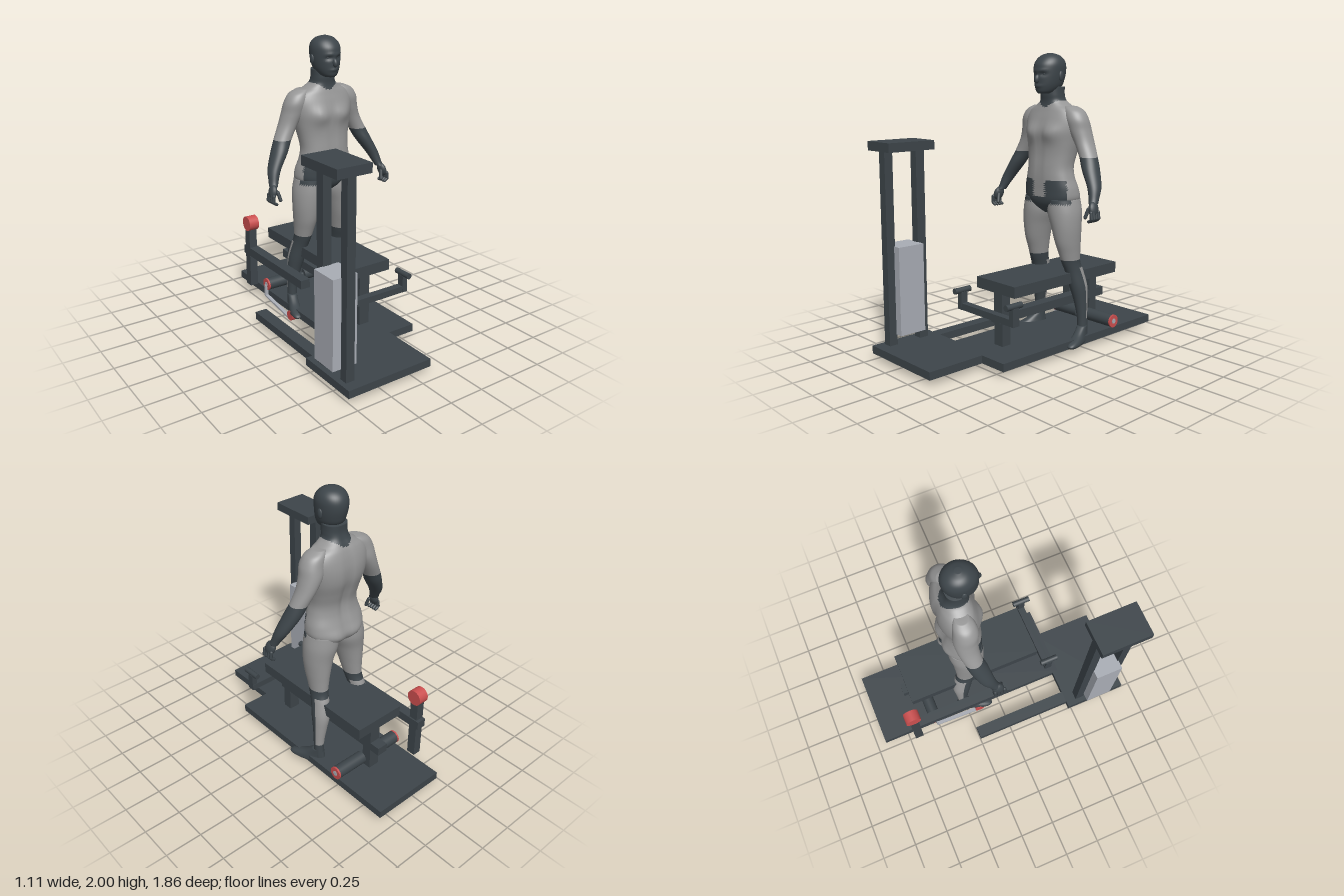
import * as THREE from 'three';

const mat = (name, color) => Object.assign(new THREE.MeshStandardMaterial({ color }), { name });

export function createModel() {
  const charcoal = mat('charcoal', 0x3d454a);
  const bodyGrey = mat('bodyGrey', 0x969696);
  const red = mat('red', 0xcb4f4f);
  const lightGrey = mat('lightGrey', 0xa9adb5);
  const model = new THREE.Group();

  const add = (parent, name, geo, material, x = 0, y = 0, z = 0) => {
    const m = new THREE.Mesh(geo, material);
    m.name = name;
    m.position.set(x, y, z);
    parent.add(m);
    return m;
  };
  // box given by its extents
  const box = (name, x0, x1, y0, y1, z0, z1, material = charcoal) =>
    add(model, name, new THREE.BoxGeometry(x1 - x0, y1 - y0, z1 - z0), material,
      (x0 + x1) / 2, (y0 + y1) / 2, (z0 + z1) / 2);
  // cylinder lying along x
  const rod = (name, x0, x1, y, z, r, material = charcoal) =>
    add(model, name, new THREE.CylinderGeometry(r, r, x1 - x0, 28).rotateZ(Math.PI / 2),
      material, (x0 + x1) / 2, y, z);

  // ---- base ----
  box('mainPlate', -0.21, 0.33, 0.042, 0.095, -0.93, 0.515);
  box('frontPlate', -0.51, 0.125, 0.042, 0.095, 0.47, 0.925);
  box('sideRail', -0.465, -0.38, 0.042, 0.095, -0.25, 0.47);

  // ---- weight tower ----
  box('towerCap', -0.565, -0.325, 1.38, 1.44, 0.525, 0.875);
  box('towerFrontPost', -0.475, -0.415, 0.095, 1.38, 0.79, 0.85);
  box('towerRearPost', -0.475, -0.415, 0.095, 1.38, 0.545, 0.61);
  box('weightStack', -0.535, -0.36, 0.165, 0.76, 0.605, 0.797, lightGrey);

  // ---- bench ----
  box('benchTop', -0.125, 0.247, 0.46, 0.535, -0.635, 0.345);
  box('benchBeam', 0.02, 0.1, 0.255, 0.315, -0.67, 0.345);
  box('benchFrontPost', 0.02, 0.1, 0.095, 0.46, 0.25, 0.32);
  box('benchRearPost', 0.02, 0.1, 0.095, 0.46, -0.595, -0.525);

  // ---- handle bar ----
  box('handleCrossBar', -0.215, 0.335, 0.31, 0.355, 0.385, 0.435);
  for (const x of [-0.195, 0.315]) {
    box('handleUpright', x - 0.02, x + 0.02, 0.31, 0.43, 0.388, 0.437);
    add(model, 'handleGrip', new THREE.CylinderGeometry(0.02, 0.02, 0.13, 16).rotateX(Math.PI / 2),
      charcoal, x, 0.44, 0.415);
  }

  // ---- side arm and pulleys ----
  box('sideArm', -0.28, -0.21, 0.34, 0.402, -0.73, 0.06);
  box('sidePost', -0.28, -0.22, 0.095, 0.54, -0.708, -0.645);
  rod('topPulley', -0.283, -0.207, 0.585, -0.68, 0.055, red);
  rod('lowerPulley', -0.24, -0.207, 0.037, -0.16, 0.036, red);
  const cable = [[0.01, -0.18], [0.055, -0.51], [0.14, -0.51]];
  for (let i = 0; i < 2; i++) {
    const [y0, z0] = cable[i], [y1, z1] = cable[i + 1];
    const m = add(model, 'cable', new THREE.BoxGeometry(0.025, 0.014, Math.hypot(y1 - y0, z1 - z0)),
      lightGrey, -0.225, (y0 + y1) / 2, (z0 + z1) / 2);
    m.rotation.x = -Math.atan2(y1 - y0, z1 - z0);
  }

  // ---- foot rollers ----
  for (const [inner, outer] of [[0.01, -0.21], [0.1, 0.33]]) {
    const s = Math.sign(outer);
    rod('footRoller', Math.min(inner, outer), Math.max(inner, outer), 0.14, -0.515, 0.044);
    const e = outer + s * 0.006;
    rod('rollerCap', e - 0.006, e + 0.006, 0.14, -0.515, 0.045, red);
    rod('rollerAxle', e + s * 0.005 - 0.004, e + s * 0.005 + 0.004, 0.14, -0.515, 0.018, lightGrey);
  }
  rod('rollerShaft', 0.0, 0.11, 0.14, -0.515, 0.018);

  // ---- figure ----
  const figure = new THREE.Group();
  figure.name = 'figure';
  figure.position.x = 0.06;
  model.add(figure);

  // smooth loft through horizontal rings [x, y, z, rx, rz], listed from the bottom up
  const loft = (name, rings, { power = 2, bump = null, isDark = () => true, parent = figure } = {}) => {
    const seg = 44, sub = 6, rows = [];
    const at = i => rings[Math.max(0, Math.min(rings.length - 1, i))];
    for (let i = 0; i < rings.length - 1; i++)
      for (let k = 0; k < sub; k++) {
        const t = k / sub;
        rows.push(at(i).map((b, c) => {
          const a = at(i - 1)[c], d = at(i + 1)[c], e = at(i + 2)[c];
          return b + 0.5 * t * (d - a + t * (2 * a - 5 * b + 4 * d - e + t * (3 * (b - d) + e - a)));
        }));
      }
    rows.push(rings[rings.length - 1]);
    const pos = [], curve = v => Math.sign(v) * Math.abs(v) ** (2 / power);
    for (const [x, y, z, rx, rz] of rows)
      for (let j = 0; j < seg; j++) {
        const a = j / seg * Math.PI * 2;
        const p = new THREE.Vector3(x + rx * curve(Math.cos(a)), y, z + rz * curve(Math.sin(a)));
        if (bump) p.z += bump(p.x, y, Math.sin(a));
        pos.push(p.x, p.y, p.z);
      }
    const n = rows.length, first = rows[0], last = rows[n - 1], lists = [[], []];
    pos.push(first[0], first[1], first[2], last[0], last[1], last[2]);
    const tri = (a, b, c, front) => {
      const mid = k => (pos[a * 3 + k] + pos[b * 3 + k] + pos[c * 3 + k]) / 3;
      lists[isDark(mid(0), mid(1), mid(2), front) ? 0 : 1].push(a, b, c);
    };
    for (let j = 0; j < seg; j++) {
      const k = (j + 1) % seg, front = Math.sin((j + 0.5) / seg * Math.PI * 2);
      for (let i = 0; i < n - 1; i++) {
        const a = i * seg + j, b = i * seg + k;
        tri(a, a + seg, b, front);
        tri(b, a + seg, b + seg, front);
      }
      tri(n * seg, j, k, front);
      tri(n * seg + 1, (n - 1) * seg + k, (n - 1) * seg + j, front);
    }
    const geo = new THREE.BufferGeometry();
    geo.setAttribute('position', new THREE.Float32BufferAttribute(pos, 3));
    geo.setIndex([...lists[0], ...lists[1]]);
    geo.addGroup(0, lists[0].length, 0);
    geo.addGroup(lists[0].length, lists[1].length, 1);
    geo.computeVertexNormals();
    return add(parent, name, geo, [charcoal, bodyGrey]);
  };
  const ring = (y, rx, front, back) => [0, y, (front + back) / 2, rx, (front - back) / 2];
  const hill = (v, c, w) => Math.exp(-(((v - c) / w) ** 2));

  // torso and neck
  loft('torso', [
    ring(0.935, 0.04, -0.12, -0.22), ring(0.98, 0.13, -0.07, -0.29), ring(1.03, 0.205, -0.05, -0.315),
    ring(1.1, 0.21, -0.047, -0.3), ring(1.18, 0.187, -0.045, -0.278), ring(1.25, 0.175, -0.048, -0.275),
    ring(1.33, 0.185, -0.055, -0.295), ring(1.42, 0.205, -0.058, -0.322), ring(1.5, 0.22, -0.062, -0.328),
    ring(1.57, 0.22, -0.075, -0.318), ring(1.625, 0.19, -0.092, -0.3), ring(1.66, 0.13, -0.102, -0.28),
    ring(1.69, 0.088, -0.104, -0.262), ring(1.73, 0.08, -0.1, -0.25), ring(1.78, 0.08, -0.1, -0.25)], {
    power: 2.3,
    bump: (x, y, f) => f > 0
      ? f * (0.03 * hill(Math.abs(x), 0.09, 0.07) * hill(y, 1.48, 0.06) - 0.008 * hill(x, 0, 0.015) * hill(y, 1.3, 0.2))
      : -f * (0.022 * hill(x, 0, 0.025) * hill(y, 1.32, 0.3) - 0.015 * hill(Math.abs(x), 0.09, 0.06) * hill(y, 1.03, 0.06)),
    isDark: (x, y, z) => {
      const a = Math.abs(x);
      if (y > 1.4) return y > 1.64 + a * 0.6;
      const hip = y > 1.01 && y < 1.165 && a > 0.055 && z > -0.12;
      const strip = y > 1.0 && y < 1.03 && z > -0.2;
      return hip || strip || (y < 1.05 && a < 0.1 && z > -0.17);
    },
  });

  // head with brow, eye sockets and lips
  loft('head', [
    ring(1.735, 0.035, -0.055, -0.15), ring(1.75, 0.058, -0.042, -0.19), ring(1.785, 0.08, -0.035, -0.235),
    ring(1.83, 0.092, -0.033, -0.253), ring(1.88, 0.098, -0.032, -0.264), ring(1.925, 0.098, -0.037, -0.262),
    ring(1.96, 0.085, -0.06, -0.245), ring(1.985, 0.058, -0.092, -0.213), ring(1.998, 0.02, -0.13, -0.17)], {
    bump: (x, y, f) => f < 0.3 ? 0 : f * (
      0.007 * hill(y, 1.785, 0.009) * hill(x, 0, 0.03)
      - 0.014 * hill(Math.abs(x), 0.038, 0.02) * hill(y, 1.862, 0.014)
      + 0.006 * hill(y, 1.885, 0.012) * hill(Math.abs(x), 0.03, 0.035)),
  });
  add(figure, 'nose', new THREE.SphereGeometry(1, 16, 12).scale(0.016, 0.03, 0.022), charcoal, 0, 1.832, -0.033)
    .rotation.x = -0.3;

  for (const s of [-1, 1]) {
    const side = rings => rings.map(([x, ...rest]) => [s * x, ...rest]);
    add(figure, 'ear', new THREE.SphereGeometry(1, 14, 10).scale(0.01, 0.033, 0.02), charcoal, s * 0.098, 1.85, -0.155);
    add(figure, 'eye', new THREE.SphereGeometry(0.012, 12, 8), charcoal, s * 0.037, 1.862, -0.062);

    // arm
    loft('arm', side([
      [0.44, 1.05, -0.105, 0.028, 0.035], [0.43, 1.08, -0.12, 0.032, 0.036], [0.405, 1.15, -0.15, 0.043, 0.05],
      [0.348, 1.25, -0.18, 0.056, 0.062], [0.307, 1.33, -0.2, 0.06, 0.061], [0.258, 1.42, -0.213, 0.064, 0.07],
      [0.22, 1.5, -0.21, 0.076, 0.08], [0.2, 1.57, -0.2, 0.08, 0.08], [0.175, 1.625, -0.2, 0.07, 0.068],
      [0.14, 1.655, -0.2, 0.045, 0.045]]), { isDark: (x, y) => y < 1.33 });

    // half-closed hand
    const palm = add(figure, 'palm', new THREE.SphereGeometry(1, 18, 14).scale(0.025, 0.05, 0.04), charcoal, s * 0.455, 1.02, -0.09);
    palm.rotation.set(-0.3, 0, s * 0.25);
    for (let i = 0; i < 4; i++) {
      const z = -0.05 - i * 0.022;
      const upper = add(figure, 'finger', new THREE.CapsuleGeometry(0.0115, 0.04, 4, 10), charcoal, s * 0.473, 0.98, z);
      upper.rotation.z = s * 0.15;
      const tip = add(figure, 'fingerTip', new THREE.CapsuleGeometry(0.0105, 0.025, 4, 10), charcoal, s * 0.462, 0.948, z);
      tip.rotation.z = -s * 1.0;
    }
    const thumb = add(figure, 'thumb', new THREE.CapsuleGeometry(0.012, 0.055, 4, 10), charcoal, s * 0.425, 0.99, -0.06);
    thumb.rotation.set(-0.3, 0, -s * 0.2);

    // leg, dark below the knee except for the calf
    loft('leg', side([
      [0.21, 0.06, -0.27, 0.034, 0.04], [0.21, 0.13, -0.268, 0.034, 0.038], [0.207, 0.22, -0.265, 0.036, 0.037],
      [0.195, 0.33, -0.262, 0.047, 0.05], [0.18, 0.43, -0.253, 0.058, 0.067], [0.165, 0.53, -0.23, 0.056, 0.07],
      [0.155, 0.6, -0.205, 0.057, 0.072], [0.15, 0.67, -0.193, 0.066, 0.083], [0.145, 0.75, -0.182, 0.079, 0.098],
      [0.135, 0.85, -0.177, 0.096, 0.11], [0.116, 0.95, -0.18, 0.112, 0.122], [0.11, 1.04, -0.18, 0.098, 0.118]]), {
      isDark: (x, y, z, f) => (y < 0.62 && !(f < -0.15 && y > 0.2 && y < 0.57)) || (y > 1.01 && z > -0.15),
    });

    // foot turned outwards
    const foot = loft('foot', [
      ring(0.044, 0.034, 0.205, -0.04), ring(0.058, 0.044, 0.222, -0.048), ring(0.078, 0.043, 0.2, -0.05),
      ring(0.11, 0.037, 0.11, -0.046), ring(0.155, 0.033, 0.04, -0.038)], { power: 2.4 });
    foot.position.set(s * 0.212, 0, -0.265);
    foot.rotation.y = s * 0.36;
  }
  return model;
}
